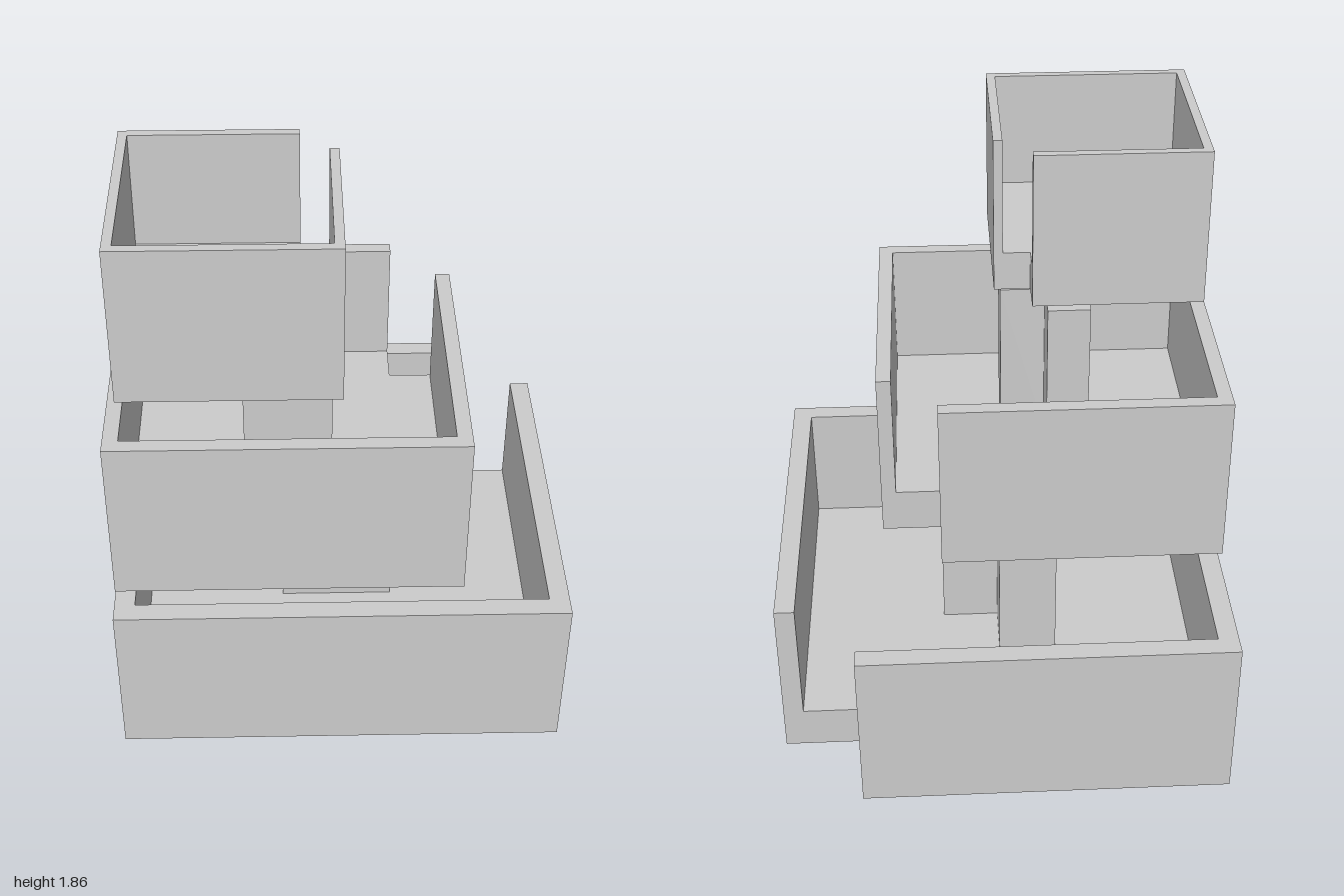
import * as THREE from 'three';

const material = new THREE.MeshStandardMaterial({ color: 0xcccccc, flatShading: true });

// Extrudes a plan outline of [x, z] points upward from y0 to y1.
function slab(name, points, y0, y1) {
  const shape = new THREE.Shape(points.map(([x, z]) => new THREE.Vector2(x, -z)));
  const geometry = new THREE.ExtrudeGeometry(shape, { depth: y1 - y0, bevelEnabled: false });
  geometry.rotateX(-Math.PI / 2).translate(0, y0, 0);
  const mesh = new THREE.Mesh(geometry, material);
  mesh.name = name;
  return mesh;
}

// Diamond plan centred on x = c with half-diagonal d; the +x corner is cut
// by a square notch whose tips lie at z = +t and z = -t.
function notchedDiamond(c, d, t) {
  const tip = c + d - t;
  return [[tip, t], [c, d], [c - d, 0], [c, -d], [tip, -t], [tip - t, 0]];
}

// Wall strip following the diamond, open at the notch; w is its width along an axis.
function wallOutline(c, d, t, w) {
  const outer = notchedDiamond(c, d, t).slice(0, 5);
  const inner = notchedDiamond(c, d - w, t - w / 2).slice(0, 5);
  return [...outer, ...inner.reverse()];
}

// Open-topped basin: notched floor plus walls.
function basin(name, { c, d, t, w, bottom, floor, top }) {
  const group = new THREE.Group();
  group.name = name;
  group.add(slab(name + 'Floor', notchedDiamond(c, d, t), bottom, floor));
  group.add(slab(name + 'Walls', wallOutline(c, d, t, w), floor, top));
  return group;
}

export function createModel() {
  const model = new THREE.Group();
  model.name = 'tieredFountain';

  // Three stacked basins
  model.add(
    basin('lowerBasin', { c: 0.09, d: 1, t: 0.18, w: 0.09, bottom: 0, floor: 0.14, top: 0.553 }),
    basin('middleBasin', { c: -0.14, d: 0.75, t: 0.13, w: 0.065, bottom: 0.662, floor: 0.803, top: 1.215 }),
    basin('upperBasin', { c: -0.37, d: 0.455, t: 0.08, w: 0.04, bottom: 1.355, floor: 1.482, top: 1.856 }),
  );

  // Notched pedestals standing on the floors; the upper one stops short of its basin
  model.add(
    slab('lowerPedestal', notchedDiamond(0.085, 0.262, 0.13), 0.14, 0.662),
    slab('upperPedestal', notchedDiamond(-0.14, 0.195, 0.1), 0.803, 1.325),
  );
  return model;
}
